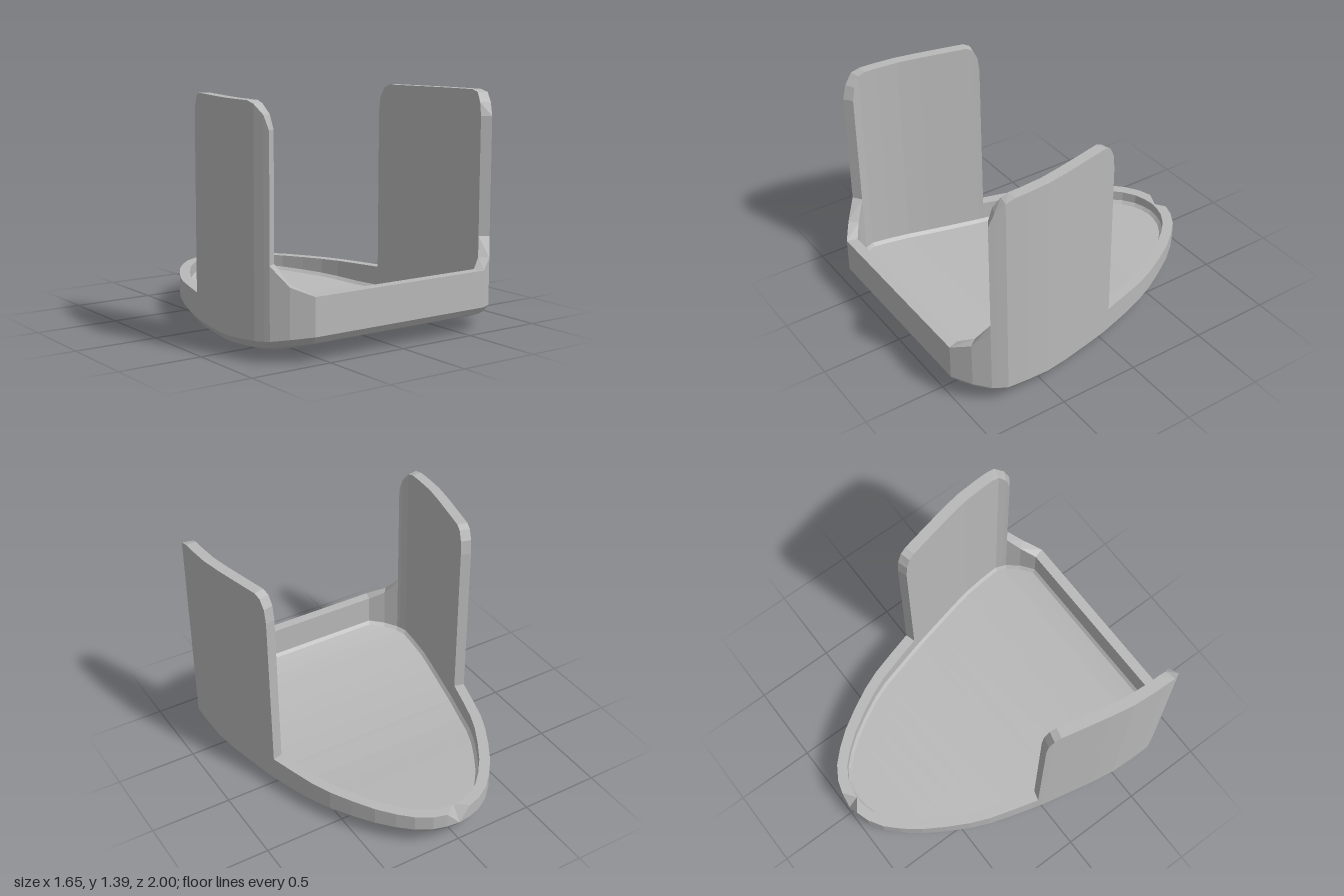
import * as THREE from 'three';

// Half outline from back centre to front corner: x, z, rim height.
// A repeated x, z makes a vertical step in the rim.
const HALF = [
  [0, -1, 0.13], [0.08, -0.99, 0.22], [0.16, -0.965, 0.22], [0.25, -0.91, 0.22],
  [0.33, -0.83, 0.22], [0.41, -0.73, 0.22], [0.49, -0.6, 0.22], [0.56, -0.47, 0.22],
  [0.61, -0.35, 0.22], [0.655, -0.2, 0.22], [0.7, -0.04, 0.22],
  [0.7, -0.04, 1.22], [0.703, -0.03, 1.31], [0.711, 0, 1.37], [0.72, 0.04, 1.39],
  [0.745, 0.15, 1.39], [0.787, 0.34, 1.39], [0.813, 0.48, 1.39], [0.823, 0.62, 1.39],
  [0.825, 0.7, 1.39], [0.825, 0.76, 1.375], [0.8, 0.815, 1.32], [0.785, 0.845, 1.24],
  [0.785, 0.845, 0.53], [0.71, 0.925, 0.42], [0.6, 1, 0.37],
];

// Height of the curved underside along z
const KEEL = [[-1, 0.06], [-0.9, 0.055], [-0.5, 0.03], [-0.2, 0.006], [0, 0], [0.28, 0.005],
  [0.5, 0.02], [0.7, 0.043], [0.84, 0.055], [0.92, 0.07], [1, 0.085]];

function keel(z) {
  const i = Math.max(1, KEEL.findIndex((p) => p[0] >= z));
  const [a, b] = [KEEL[i - 1], KEEL[i]];
  return a[1] + (b[1] - a[1]) * (z - a[0]) / (b[0] - a[0]);
}

const mirrored = HALF.slice(1).reverse().map(([x, z, t]) => [-x, z, t]);
const LOOP = [...HALF, ...mirrored];
const N = LOOP.length;

// Nearest neighbour that is not at the same place
function neighbour(i, step) {
  const p = LOOP[i];
  let k = i;
  do k = (k + step + N) % N; while (LOOP[k][0] === p[0] && LOOP[k][1] === p[1]);
  return LOOP[k];
}

// Outline point moved inwards by a mitred distance
function inset(i, d, y) {
  const p = LOOP[i], a = neighbour(i, -1), b = neighbour(i, 1);
  const n1 = new THREE.Vector2(p[1] - a[1], a[0] - p[0]).normalize();
  const n2 = new THREE.Vector2(b[1] - p[1], p[0] - b[0]).normalize();
  const m = n1.clone().add(n2).normalize();
  const s = d / m.dot(n1);
  return new THREE.Vector3(p[0] - m.x * s, y, p[1] - m.y * s);
}

// Skins rings of points; cap = {ring, up} closes one ring with cross strips
function skin(rings, cap) {
  const pos = [];
  const tri = (a, b, c) => {
    const area = b.clone().sub(a).cross(c.clone().sub(a)).length();
    if (area > 1e-8) pos.push(...a, ...b, ...c);
  };
  for (let i = 0; i < N; i++) {
    const n = (i + 1) % N;
    for (let j = 0; j + 1 < rings.length; j++) {
      const a = rings[j][i], b = rings[j + 1][i], c = rings[j + 1][n], d = rings[j][n];
      if (i < HALF.length) { tri(a, b, d); tri(b, c, d); }
      else { tri(a, b, c); tri(a, c, d); }
    }
  }
  if (cap) {
    for (let k = 0; k + 1 < HALF.length; k++) {
      const r = cap.ring;
      const q = [r[k], r[(N - k) % N], r[N - k - 1], r[k + 1]];
      if (!cap.up) q.reverse();
      tri(q[0], q[1], q[2]);
      tri(q[0], q[2], q[3]);
    }
  }
  const geo = new THREE.BufferGeometry();
  geo.setAttribute('position', new THREE.Float32BufferAttribute(pos, 3));
  geo.computeVertexNormals();
  return geo;
}

export function createModel() {
  const group = new THREE.Group();
  group.name = 'trayWithSidePanels';
  const grey = new THREE.MeshStandardMaterial({ color: 0xb8b8b8, flatShading: true });
  grey.name = 'grey';

  const ring = (d, lift) => LOOP.map((p, i) => inset(i, d, keel(p[1]) + lift));
  const rim = (d, inner) => LOOP.map((p, i) => inset(i, d, inner ? Math.max(p[2], 0.22) : p[2]));
  const add = (name, geo) => {
    const mesh = new THREE.Mesh(geo, grey);
    mesh.name = name;
    group.add(mesh);
  };

  const bottom = ring(0.1, 0), bevel = ring(0.03, 0.027), outerLow = ring(0, 0.068);
  const innerLow = ring(0.065, 0.1), floor = ring(0.083, 0.08);

  // Rounded underside
  add('underside', skin([bottom, bevel, outerLow], { ring: bottom, up: false }));
  // Low rim, notched at the back, rising into the two side panels
  add('rimAndSidePanels', skin([outerLow, rim(0, false), rim(0.065, true), innerLow]));
  // Inside floor with a narrow sloped border
  add('floor', skin([innerLow, floor], { ring: floor, up: true }));

  return group;
}
